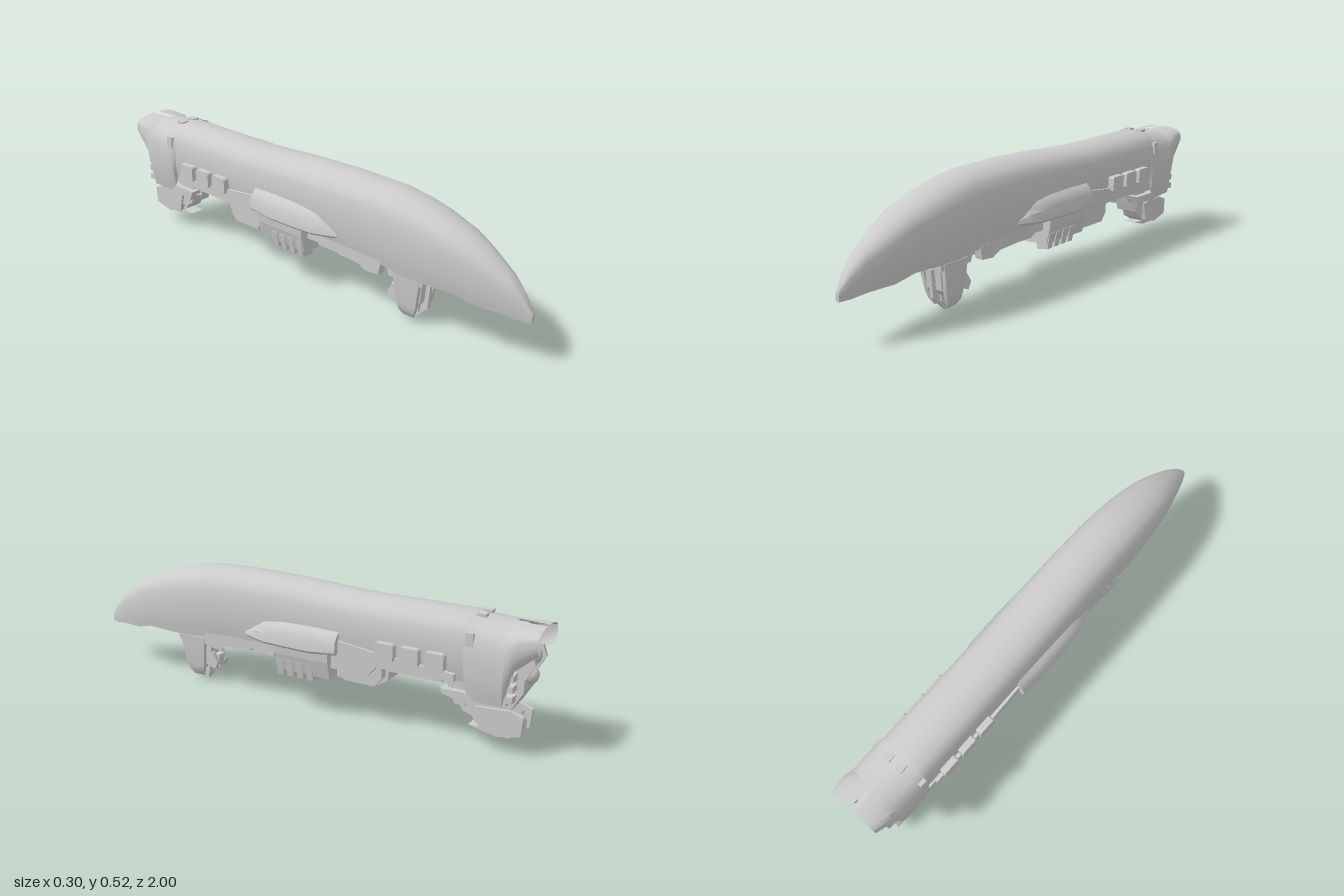
import * as THREE from 'three';
import { toCreasedNormals } from 'three/addons/utils/BufferGeometryUtils.js';

const mat = new THREE.MeshStandardMaterial({ color: 0xcccccc });
const thin = new THREE.MeshStandardMaterial({ color: 0xcccccc, side: THREE.DoubleSide });

// Skin over equal-length cross-sections listed from bow to stern
function loft(sections, closed) {
  const n = sections[0].length, idx = [];
  for (let i = 0; i < sections.length - 1; i++)
    for (let j = 0; j < (closed ? n : n - 1); j++) {
      const a = i * n + j, b = i * n + (j + 1) % n;
      idx.push(a, a + n, b, b, a + n, b + n);
    }
  if (closed) {
    const last = (sections.length - 1) * n;
    for (let j = 1; j < n - 1; j++) idx.push(0, j, j + 1, last, last + j + 1, last + j);
  }
  const g = new THREE.BufferGeometry();
  g.setAttribute('position', new THREE.Float32BufferAttribute(sections.flat(2), 3));
  g.setIndex(idx);
  return toCreasedNormals(g, 0.6);
}

// Arched half outline: [share of half width, share of height]
const ARCH = [[0.88, 0], [0.95, 0.14], [1, 0.3], [1.01, 0.5], [0.97, 0.72], [0.87, 0.83], [0.7, 0.91], [0.38, 0.98]];
function arch(z, w, y0, y1, belly) {
  const half = ARCH.map(([u, v]) => [u * w, y0 + v * (y1 - y0), z]);
  const pts = [...half, [0, y1, z], ...half.slice().reverse().map(([x, y]) => [-x, y, z])];
  if (belly) {
    const y = y0 + belly * (y1 - y0);
    pts.push([-0.6 * w, y, z], [0.6 * w, y, z]);
  }
  return pts;
}

export function createModel() {
  const root = new THREE.Group();
  const add = (name, geo, m = mat, parent = root) => {
    const mesh = new THREE.Mesh(geo, m);
    mesh.name = name;
    parent.add(mesh);
    return mesh;
  };
  const shapeOf = pts => new THREE.Shape(pts.map(p => new THREE.Vector2(p[0], p[1])));
  // Side outline (z, y) given a width across x
  const side = (name, pts, width, x = 0, parent = root) => {
    const g = new THREE.ExtrudeGeometry(shapeOf(pts), { depth: width, bevelEnabled: false });
    g.translate(0, 0, -width / 2).rotateY(-Math.PI / 2).translate(x, 0, 0);
    return add(name, g, mat, parent);
  };
  // Front outline (x, y) running from z0 back to z1
  const front = (name, pts, z0, z1) => {
    const g = new THREE.ExtrudeGeometry(shapeOf(pts), { depth: z0 - z1, bevelEnabled: false });
    return add(name, g.translate(0, 0, z1));
  };
  const box = (name, x, y, z, w, h, d) =>
    add(name, new THREE.BoxGeometry(w, h, d).translate(x, y, z));
  const mirrorProfile = pts => [...pts, ...pts.slice().reverse().map(([x, y]) => [-x, y])];

  // Main hull: z, half width, lower edge, ridge
  const hull = [
    [1, 0.008, 0.168, 0.205], [0.96, 0.026, 0.172, 0.265], [0.9, 0.046, 0.183, 0.325],
    [0.8, 0.073, 0.19, 0.39], [0.72, 0.09, 0.212, 0.432], [0.6, 0.104, 0.212, 0.475],
    [0.5, 0.11, 0.215, 0.5], [0.4, 0.112, 0.23, 0.515], [0.2, 0.114, 0.24, 0.52],
    [0, 0.114, 0.25, 0.516], [-0.3, 0.112, 0.255, 0.502], [-0.735, 0.112, 0.26, 0.505], [-0.8, 0.11, 0.26, 0.49]];
  add('hull', loft(hull.map(([z, w, a, b]) => arch(z, w, a, b, 0.12)), true));

  // Stern collar, with a slot along its ridge
  const collar = [[-0.735, 0.112, 0.3, 0.506], [-0.75, 0.121, 0.23, 0.504], [-0.785, 0.124, 0.2, 0.496],
    [-0.89, 0.124, 0.2, 0.493]].map(s => arch(...s));
  add('sternCollar', loft(collar), thin);
  const tail = [[-0.89, 0.124, 0.2, 0.493], [-0.925, 0.122, 0.34, 0.492], [-1, 0.107, 0.405, 0.49]].map(s => arch(...s));
  for (const s of [1, -1]) {
    const part = tail.map(sec => {
      const p = s > 0 ? sec.slice(0, 9) : sec.slice(8);
      return p.map(v => v[0] === 0 ? [0.012 * s, v[1], v[2]] : v);
    });
    add('tailShroud', loft(part), thin);
    box('collarClamp', s * 0.115, 0.43, -0.76, 0.016, 0.05, 0.03);
    box('ridgeClamp', s * 0.03, 0.5, -0.77, 0.03, 0.012, 0.035);
  }

  // Stern block and engines
  side('sternBlock', [[-0.72, 0.47], [-0.91, 0.47], [-0.95, 0.42], [-0.95, 0.25], [-0.91, 0.18], [-0.72, 0.2]], 0.13);
  for (const [y, z, r] of [[0.375, -0.95, 0.036], [0.3, -0.945, 0.036], [0.11, -0.915, 0.034]]) {
    add('engineDome', new THREE.SphereGeometry(r, 20, 14).translate(0, y, z));
    add('engineRing', new THREE.TorusGeometry(r, 0.007, 8, 24).translate(0, y, z));
  }
  for (const s of [1, -1]) {
    side('engineGuard', [[-0.9, 0.42], [-0.97, 0.4], [-0.985, 0.36], [-0.96, 0.31], [-0.93, 0.26], [-0.9, 0.26]], 0.016, s * 0.058);
    for (let i = 0; i < 3; i++) box('sternVent', s * 0.085, 0.23 + i * 0.04, -0.9, 0.05, 0.025, 0.05);
  }

  // Ventral stern pod
  side('sternNeck', [[-0.63, 0.25], [-0.65, 0.19], [-0.7, 0.18], [-0.72, 0.13], [-0.78, 0.11], [-0.9, 0.14], [-0.91, 0.25]], 0.1);
  side('sternPod', [[-0.73, 0.15], [-0.77, 0.09], [-0.83, 0.055], [-0.9, 0.055], [-0.925, 0.08], [-0.925, 0.145], [-0.88, 0.185], [-0.78, 0.185]], 0.08);
  side('sternKeel', [[-0.74, 0.07], [-0.82, 0.05], [-0.9, 0.05], [-0.9, 0.065]], 0.06);
  for (const s of [1, -1]) {
    side('podArmour', [[-0.77, 0.16], [-0.79, 0.08], [-0.86, 0.06], [-0.95, 0.08], [-0.955, 0.15], [-0.9, 0.17]], 0.022, s * 0.05);
    side('neckPlate', [[-0.65, 0.22], [-0.66, 0.2], [-0.75, 0.18], [-0.9, 0.2], [-0.9, 0.22]], 0.05, s * 0.075);
    side('sternBrace', [[-0.65, 0.27], [-0.7, 0.16], [-0.74, 0.16], [-0.76, 0.27]], 0.02, s * 0.065);
  }

  for (const s of [1, -1]) {
    // Flank fairing swelling out of the hull
    const fair = [[0.2, 0.112, 0.27, 0.3], [0.15, 0.13, 0.267, 0.325], [0.09, 0.146, 0.265, 0.343],
      [0, 0.151, 0.265, 0.352], [-0.12, 0.152, 0.265, 0.354], [-0.235, 0.147, 0.275, 0.354]]
      .map(([z, x, a, b]) => {
        const p = [[0.09, a + 0.005], [x - 0.01, a], [x, a + 0.01], [x - 0.004, a + (b - a) * 0.65], [x - 0.022, b], [0.09, b + 0.025]];
        return (s > 0 ? p : p.reverse()).map(([u, y]) => [u * s, y, z]);
      });
    add('flankFairing', loft(fair, true));

    // Row of flank pods
    for (let i = 0; i < 3; i++) {
      const z = -0.437 - i * 0.1;
      side('flankPod', [[z + 0.038, 0.3], [z + 0.032, 0.293], [z - 0.032, 0.293], [z - 0.038, 0.3], [z - 0.038, 0.354], [z - 0.032, 0.36], [z + 0.032, 0.36], [z + 0.038, 0.354]], 0.036, s * 0.121);
    }
    side('flankRail', [[-0.23, 0.33], [-0.23, 0.27], [-0.4, 0.255], [-0.71, 0.26], [-0.71, 0.29], [-0.4, 0.31]], 0.02, s * 0.112);

    // Forward belly equipment
    side('bellyRail', [[0.41, 0.24], [0.4, 0.185], [0.34, 0.18], [0.3, 0.2], [0.2, 0.205], [0.17, 0.22], [0.04, 0.22], [0.04, 0.26]], 0.034, s * 0.085);
    const pipe = new THREE.CatmullRomCurve3([[0.46, 0.215], [0.34, 0.205], [0.2, 0.2], [0, 0.2]].map(([z, y]) => new THREE.Vector3(s * 0.045, y, z)));
    add('bellyPipe', new THREE.TubeGeometry(pipe, 16, 0.014, 8));
    box('bellyBox', s * 0.055, 0.215, 0.13, 0.05, 0.04, 0.1);
  }
  side('bellySpine', [[0.62, 0.25], [0.62, 0.215], [0.4, 0.195], [0.32, 0.17], [0.26, 0.175], [0.2, 0.215], [0.05, 0.19], [-0.2, 0.2], [-0.4, 0.24], [-0.7, 0.245], [-0.7, 0.29]], 0.07);

  // Ribbed midship bay
  front('midshipBay', mirrorProfile([[0.12, 0.3], [0.14, 0.275], [0.137, 0.235], [0.12, 0.165], [0.04, 0.16]]), 0.04, -0.2);
  for (let i = 0; i < 4; i++)
    front('bayRib', mirrorProfile([[0.134, 0.21], [0.121, 0.143], [0.07, 0.135], [0.06, 0.18]]), 0.035 - i * 0.045, 0.007 - i * 0.045);

  // Aft belly module
  side('aftModule', [[-0.18, 0.27], [-0.2, 0.16], [-0.25, 0.153], [-0.37, 0.155], [-0.42, 0.185], [-0.43, 0.265]], 0.12);
  for (const s of [1, -1]) {
    side('modulePanel', [[-0.2, 0.25], [-0.23, 0.2], [-0.25, 0.165], [-0.38, 0.165], [-0.41, 0.2], [-0.41, 0.25]], 0.035, s * 0.075);
    side('moduleFlare', [[-0.19, 0.28], [-0.2, 0.21], [-0.36, 0.21], [-0.42, 0.28]], 0.02, s * 0.1);
    box('aftDuct', s * 0.06, 0.25, -0.54, 0.05, 0.03, 0.22);
  }

  // Chin turret with claw plates and a central blade
  const turret = new THREE.Group();
  turret.name = 'chinTurret';
  root.add(turret);
  side('turretBody', [[0.56, 0.21], [0.55, 0.09], [0.52, 0.05], [0.47, 0.05], [0.43, 0.1], [0.43, 0.21]], 0.075, 0, turret);
  side('turretBlade', [[0.575, 0.17], [0.565, 0.06], [0.5, 0], [0.465, 0], [0.47, 0.06], [0.53, 0.17]], 0.016, 0, turret);
  side('turretCore', [[0.54, 0.11], [0.53, 0.04], [0.5, 0.01], [0.46, 0.01], [0.45, 0.06], [0.4, 0.065], [0.4, 0.12]], 0.036, 0, turret);
  side('turretMount', [[0.58, 0.225], [0.575, 0.175], [0.42, 0.175], [0.4, 0.225]], 0.125, 0, turret);
  for (const s of [1, -1]) {
    const claw = [[0.2, 0.048, 0.067], [0.13, 0.046, 0.063], [0.07, 0.038, 0.055], [0.042, 0.033, 0.051], [0.017, 0.029, 0.032]]
      .map(([y, a, b], i) => {
        const zf = 0.565 - i * 0.011, zb = 0.44 + i * 0.008;
        const p = [[a, y, zb], [a, y, zf], [b, y, zf], [b, y, zb]];
        return p.map(v => [v[0] * s, v[1], v[2]]);
      });
    add('turretClaw', loft(claw, true), thin, turret);
    side('turretArm', [[0.46, 0.13], [0.46, 0.08], [0.41, 0.06], [0.395, 0.09], [0.42, 0.13]], 0.02, s * 0.03, turret);
  }
  return root;
}
